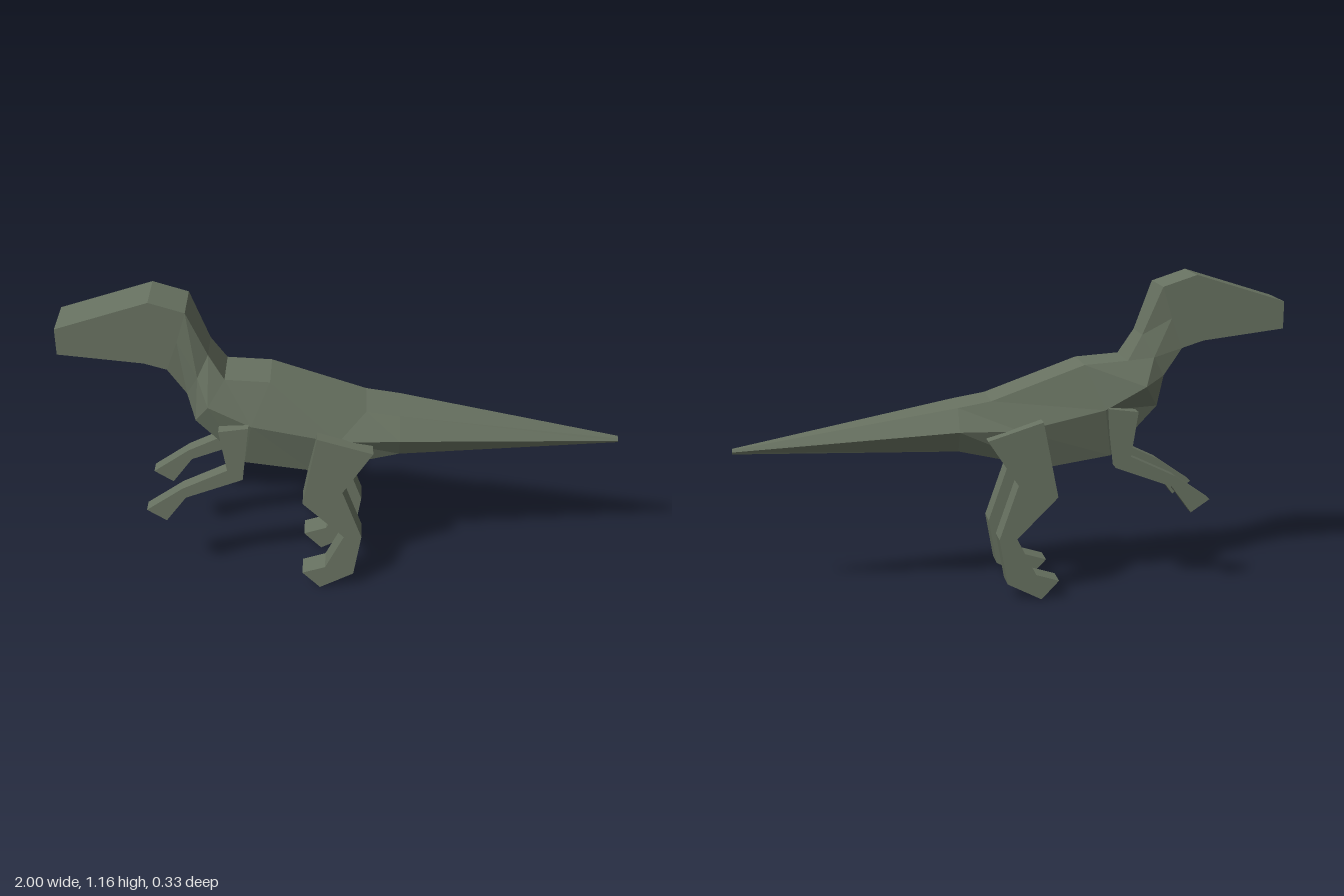
import * as THREE from 'three';

const skin = new THREE.MeshStandardMaterial({ color: 0x687261, flatShading: true });

// Each station is a six-sided ring: spine, flank and belly as [x, y, half width]
const STATIONS = [
  [[-1, 1.06, 0.08], [-1, 1.01, 0.08], [-1, 0.96, 0.08]],                      // snout
  [[-0.67, 1.165, 0.08], [-0.685, 1.04, 0.08], [-0.7, 0.925, 0.08]],           // brow
  [[-0.545, 1.125, 0.08], [-0.58, 1.01, 0.08], [-0.62, 0.9, 0.08]],            // nape
  [[-0.475, 0.95, 0.063], [-0.515, 0.87, 0.087], [-0.555, 0.8, 0.075]],        // neck
  [[-0.42, 0.86, 0.08], [-0.48, 0.77, 0.124], [-0.53, 0.69, 0.08]],            // chest
  [[-0.26, 0.85, 0.08], [-0.33, 0.69, 0.124], [-0.36, 0.51, 0.08]],            // ribs
  [[0.08, 0.73, 0.08], [-0.02, 0.625, 0.124], [-0.12, 0.475, 0.08]],           // hips
  [[0.2, 0.71, 0.08], [0.2, 0.63, 0.124], [0.2, 0.55, 0.08]],                  // tail root
  [[1, 0.573, 0.009], [1, 0.565, 0.013], [1, 0.557, 0.009]],                   // tail tip
];

// Skin the rings together and cap both ends
function loft(stations) {
  const pos = [];
  const index = [];
  for (const [top, mid, low] of stations) {
    for (const [x, y, w] of [top, mid, low]) pos.push(x, y, w);
    for (const [x, y, w] of [low, mid, top]) pos.push(x, y, -w);
  }
  for (let i = 0; i < stations.length - 1; i++) {
    for (let j = 0; j < 6; j++) {
      const a = i * 6 + j;
      const b = i * 6 + (j + 1) % 6;
      index.push(a, b, b + 6, a, b + 6, a + 6);
    }
  }
  const end = (stations.length - 1) * 6;
  for (let j = 1; j < 5; j++) {
    index.push(0, j + 1, j);
    index.push(end, end + j, end + j + 1);
  }
  const indexed = new THREE.BufferGeometry();
  indexed.setAttribute('position', new THREE.Float32BufferAttribute(pos, 3));
  indexed.setIndex(index);
  const geometry = indexed.toNonIndexed();
  geometry.computeVertexNormals();
  return geometry;
}

// Side outlines of the limbs
const HIND_LEG = [
  [-0.095, 0.665], [-0.15, 0.385], [0, 0.235], [-0.07, 0.095], [-0.155, 0.068],
  [-0.09, 0], [0.035, 0.065], [0.065, 0.235], [-0.005, 0.435], [0.105, 0.603],
];
const ARM = [
  [-0.445, 0.685], [-0.42, 0.52], [-0.585, 0.44], [-0.72, 0.345],
  [-0.65, 0.298], [-0.575, 0.4], [-0.365, 0.48], [-0.338, 0.7],
];

// Pair of flat limbs between two distances from the middle plane
function addLimbs(group, name, outline, inner, outer) {
  const shape = new THREE.Shape(outline.map(([x, y]) => new THREE.Vector2(x, y)));
  for (const side of [1, -1]) {
    const geometry = new THREE.ExtrudeGeometry(shape, { depth: outer - inner, bevelEnabled: false });
    geometry.translate(0, 0, side > 0 ? inner : -outer);
    const limb = new THREE.Mesh(geometry, skin);
    limb.name = name + (side > 0 ? 'Near' : 'Far');
    group.add(limb);
  }
}

export function createModel() {
  const group = new THREE.Group();
  group.name = 'dinosaur';

  // Head, neck, trunk and tail in one skin
  const body = new THREE.Mesh(loft(STATIONS), skin);
  body.name = 'body';
  group.add(body);

  addLimbs(group, 'hindLeg', HIND_LEG, 0.08, 0.165);
  addLimbs(group, 'arm', ARM, 0.1, 0.15);
  return group;
}
